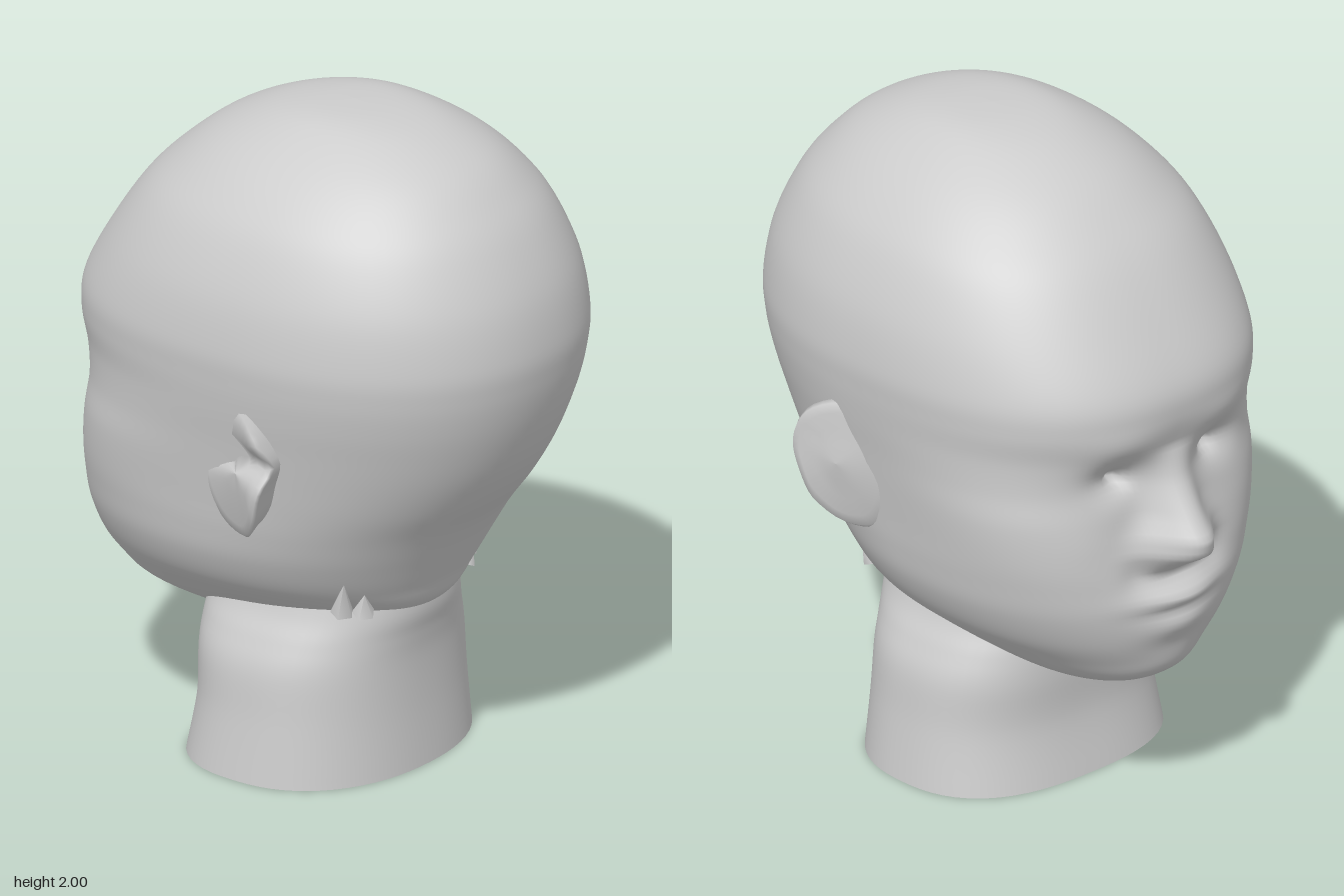
import * as THREE from 'three';

const gauss = (d, w) => Math.exp(-(d * d) / (w * w));

// Catmull-Rom through rows of numbers, t from 0 to 1
function sampleRows(rows, t) {
  const f = t * (rows.length - 1), i = Math.min(Math.floor(f), rows.length - 2), u = f - i;
  const row = k => rows[Math.max(0, Math.min(rows.length - 1, k))];
  const [a, b, c, d] = [row(i - 1), row(i), row(i + 1), row(i + 2)];
  return b.map((_, k) => 0.5 * (2 * b[k] + (c[k] - a[k]) * u
    + (2 * a[k] - 5 * b[k] + 4 * c[k] - d[k]) * u * u
    + (3 * b[k] - a[k] - 3 * c[k] + d[k]) * u * u * u));
}

// Point of a squared-off unit circle at angle a, front (cos > 0) and back squareness
function squareCircle(a, front, back) {
  const s = Math.sin(a), c = Math.cos(a), n = c > 0 ? front : back;
  const r = Math.pow(Math.abs(s) ** n + Math.abs(c) ** n, -1 / n);
  return [r * s, r * c];
}

// Skin closed rings of [x, y, z] points
function loft(rings) {
  const n = rings[0].length, index = [];
  for (let i = 0; i < rings.length - 1; i++) {
    for (let j = 0; j < n; j++) {
      const a = i * n + j, b = i * n + (j + 1) % n;
      index.push(a, b, a + n, b, b + n, a + n);
    }
  }
  const g = new THREE.BufferGeometry();
  g.setAttribute('position', new THREE.Float32BufferAttribute(rings.flat(2), 3));
  g.setIndex(index);
  g.computeVertexNormals();
  return g;
}

// Sections: y, front z, back z, half width, z of widest point, front squareness
const HEAD = [
  [2.0, 0.12, 0.12, 0, 0.12, 2],
  [1.992, -0.01, 0.26, 0.14, 0.12, 2],
  [1.96, -0.15, 0.405, 0.235, 0.11, 2],
  [1.89, -0.295, 0.55, 0.345, 0.1, 2.1],
  [1.8, -0.41, 0.648, 0.44, 0.1, 2.2],
  [1.7, -0.505, 0.722, 0.51, 0.1, 2.3],
  [1.55, -0.605, 0.79, 0.57, 0.1, 2.35],
  [1.4, -0.685, 0.818, 0.594, 0.1, 2.42],
  [1.3, -0.695, 0.812, 0.59, 0.1, 2.47],
  [1.2, -0.67, 0.79, 0.577, 0.08, 2.5],
  [1.1, -0.645, 0.755, 0.56, 0.05, 2.75],
  [1.0, -0.64, 0.708, 0.545, 0.02, 3.1],
  [0.9, -0.65, 0.645, 0.53, 0.0, 3.1],
  [0.8, -0.675, 0.57, 0.515, -0.03, 2.75],
  [0.7, -0.69, 0.51, 0.49, -0.07, 2.45],
  [0.6, -0.68, 0.457, 0.435, -0.1, 2.3],
  [0.52, -0.655, 0.415, 0.35, -0.15, 2.25],
  [0.45, -0.62, 0.3, 0.26, -0.22, 2.2],
  [0.4, -0.53, 0.1, 0.18, -0.24, 2.1],
  [0.365, -0.38, -0.05, 0.11, -0.22, 2],
  [0.35, -0.22, -0.22, 0, -0.22, 2],
];

// Nose rows: y, projection, half breadth
const NOSE = [[1.2, 0, 0.06], [1.1, 0.055, 0.07], [1.0, 0.12, 0.085],
  [0.93, 0.165, 0.105], [0.88, 0.145, 0.115], [0.83, 0.05, 0.11], [0.8, 0, 0.09]];

// Face details: x, y, breadth, height, push along z (positive sinks in)
const FACE = [
  [0.19, 1.13, 0.085, 0.06, 0.04],
  [0.17, 1.12, 0.03, 0.025, 0.04],
  [0.2, 1.24, 0.12, 0.05, -0.01],
  [0.28, 0.93, 0.12, 0.11, -0.01],
  [0.14, 0.83, 0.05, 0.06, 0.012],
  [0, 0.73, 0.13, 0.035, -0.045],
  [0, 0.69, 0.13, 0.015, 0.008],
  [0, 0.64, 0.11, 0.05, -0.03],
  [0, 0.5, 0.1, 0.05, -0.01],
];

function noseHeight(x, y) {
  for (let i = 0; i < NOSE.length - 1; i++) {
    const [y0, h0, w0] = NOSE[i], [y1, h1, w1] = NOSE[i + 1];
    if (y <= y0 && y >= y1) {
      const u = (y0 - y) / (y0 - y1), w = w0 + (w1 - w0) * u;
      return (h0 + (h1 - h0) * u) * Math.exp(-((Math.abs(x) / w) ** 2.2));
    }
  }
  return 0;
}

function headGeometry() {
  const rings = [], steps = 120, sides = 128;
  for (let i = 0; i <= steps; i++) {
    const [y, front, back, half, mid, square] = sampleRows(HEAD, i / steps);
    const ring = [];
    for (let j = 0; j < sides; j++) {
      // points crowd toward the face
      const u = (j / sides) * Math.PI * 2, a = u - 0.45 * Math.sin(u), c = Math.cos(a);
      const [px, pz] = squareCircle(a, square, 2.17);
      const x = Math.max(half, 0) * px;
      let z = mid + (c > 0 ? front - mid : mid - back) * pz;
      if (c > 0) {
        z -= noseHeight(x, y);
        for (const [fx, fy, w, h, push] of FACE) {
          z += push * gauss(Math.abs(x) - fx, w) * gauss(y - fy, h) * Math.min(1, c * 3);
        }
      }
      ring.push([x, y, z]);
    }
    rings.push(ring);
  }
  return loft(rings);
}

// Neck sections: y, front z, back z, half width
const NECK = [[0.62, -0.27, 0.4, 0.29], [0.5, -0.28, 0.405, 0.328], [0.42, -0.285, 0.39, 0.37],
  [0.33, -0.285, 0.38, 0.405], [0.18, -0.28, 0.38, 0.422], [0, -0.31, 0.39, 0.447]];

function neckGeometry() {
  const rings = [];
  for (let i = 0; i <= 30; i++) {
    const [y, front, back, half] = sampleRows(NECK, i / 30);
    rings.push(Array.from({ length: 64 }, (_, j) => {
      const [px, pz] = squareCircle((j / 64) * Math.PI * 2, 2.6, 2.2);
      return [half * px, y, (front + back) / 2 + ((front - back) / 2) * pz];
    }));
  }
  return loft(rings);
}

// Ear outline as z, y
const EAR = [[0.0, 1.21], [0.13, 1.23], [0.23, 1.18], [0.27, 1.08], [0.245, 0.98],
  [0.21, 0.89], [0.14, 0.82], [0.05, 0.83], [-0.01, 0.92], [-0.03, 1.06]];

function earGeometry(notch) {
  const curve = new THREE.CatmullRomCurve3(EAR.map(([z, y]) => new THREE.Vector3(0, y, z)), true);
  const rim = curve.getPoints(40).slice(0, 40);
  // layers: scale about the middle, depth below the rim
  const layers = [[0.8, 0.16], [0.9, 0.06], [1, 0.01], [0.95, 0], [0.8, 0.004], [0.55, 0.015], [0.3, 0.015], [0, 0.012]];
  return loft(layers.map(([s, depth]) => rim.map(p => {
    const z = 0.13 + (p.z - 0.13) * s, y = 1.03 + (p.y - 1.03) * s;
    // the front edge sinks into the cheek, the back edge stands out
    const lift = 0.55 + 0.09 * Math.min(1, z / 0.21) - 0.045 * ((y - 1.05) / 0.2) ** 2;
    return [lift - depth - notch * gauss(y - 1.08, 0.04), y, z];
  })));
}

export function createModel() {
  const model = new THREE.Group();
  model.name = 'mannequinHead';
  const grey = new THREE.MeshStandardMaterial({ color: 0xcccccc, side: THREE.DoubleSide });
  grey.name = 'grey';
  const add = (name, geometry) => {
    const mesh = new THREE.Mesh(geometry, grey);
    mesh.name = name;
    mesh.position.x = 0.01;
    model.add(mesh);
    return mesh;
  };

  add('head', headGeometry());
  add('neck', neckGeometry());
  add('leftEar', earGeometry(0));
  add('rightEar', earGeometry(0.05)).scale.x = -1;

  // Small ragged points along the nape
  for (const side of [-1, 1]) {
    for (const [x, y, z, h] of [[0.25, 0.57, 0.35, 0.07], [0.31, 0.6, 0.32, 0.11]]) {
      const spike = add(side > 0 ? 'leftNapePoint' : 'rightNapePoint', new THREE.ConeGeometry(0.035, h, 5));
      spike.position.set(side * x, y, z);
      spike.rotation.set(0.25, 0, -side * 0.25);
    }
  }
  return model;
}
